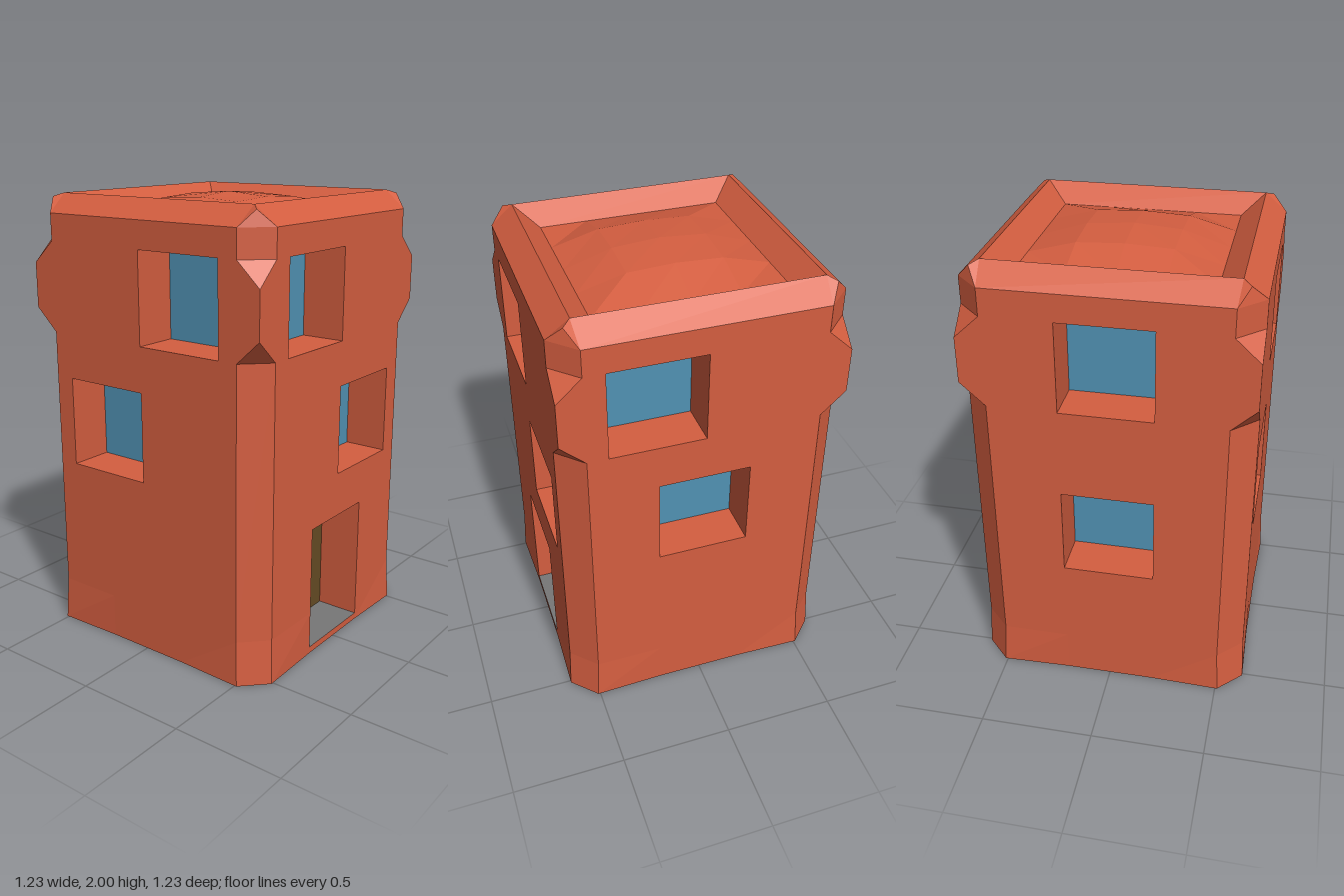
import * as THREE from 'three';

const W = 0.608; // half width of the tower
const C = 0.5;   // where the corner chamfer starts
const IN = 0.41; // depth of window panes and roof floor

// Flat polygons, each a fan of corners listed counter-clockwise
function facets(polys) {
  const pos = [];
  for (const p of polys)
    for (let i = 1; i < p.length - 1; i++) pos.push(...p[0], ...p[i], ...p[i + 1]);
  const g = new THREE.BufferGeometry();
  g.setAttribute('position', new THREE.Float32BufferAttribute(pos, 3));
  g.computeVertexNormals();
  return g;
}

export function createModel() {
  const mat = (name, color) => {
    const m = new THREE.MeshStandardMaterial({ color });
    m.name = name;
    return m;
  };
  const brick = mat('terracotta', 0xd45e40);
  const glass = mat('blueGlass', 0x5192b3);
  const wood = mat('darkWood', 0x664c24);
  const stone = mat('greyStone', 0x777777);

  const root = new THREE.Group();
  root.name = 'tower';
  const add = (parent, name, geo, material) => {
    const m = new THREE.Mesh(geo, material);
    m.name = name;
    parent.add(m);
    return m;
  };

  // Recess with a pane at its back
  function opening(parent, name, [x0, x1, y0, y1], pane, floor) {
    const f = W, b = IN;
    add(parent, name + 'Reveal', facets([
      [[x0, y0, f], [x0, y0, b], [x0, y1, b], [x0, y1, f]],
      [[x1, y0, b], [x1, y0, f], [x1, y1, f], [x1, y1, b]],
      [[x0, y1, b], [x1, y1, b], [x1, y1, f], [x0, y1, f]],
    ]), brick);
    add(parent, name + 'Sill', facets([
      [[x0, y0, f], [x1, y0, f], [x1, y0, b], [x0, y0, b]],
    ]), floor);
    add(parent, name + 'Pane', facets([
      [[x0, y0, b], [x1, y0, b], [x1, y1, b], [x0, y1, b]],
    ]), pane);
  }

  // One side: wall, windows, skirt, its right-hand corner and roof rim
  function side(name, turn, windows, hasDoor) {
    const s = new THREE.Group();
    s.name = name;
    s.rotation.y = turn * Math.PI / 2;
    root.add(s);

    // Wall outline widens to a square corner between 1.5 and 1.7
    const outline = [[C, 0.2], [C, 1.4], [W, 1.5], [W, 1.7], [C, 1.8], [C, 1.92]];
    const mirrored = outline.map(([x, y]) => [-x, y]).reverse();
    const notch = hasDoor ? [[-0.2, 0.2], [-0.2, 0.6], [0.2, 0.6], [0.2, 0.2]] : [];
    const shape = new THREE.Shape(
      [...outline, ...mirrored, ...notch].map(([x, y]) => new THREE.Vector2(x, y)));
    for (const [x0, x1, y0, y1] of windows)
      shape.holes.push(new THREE.Path(
        [[x0, y0], [x0, y1], [x1, y1], [x1, y0]].map(([x, y]) => new THREE.Vector2(x, y))));
    add(s, 'wall', new THREE.ShapeGeometry(shape).translate(0, 0, W), brick);
    windows.forEach((w) => opening(s, 'window', w, glass, brick));

    // Slightly flared skirt
    const t = hasDoor ? 0.03 : 0.2;
    add(s, 'skirt', facets([
      [[-0.51, 0, 0.617], [-0.2, 0, W], [-0.2, 0.2, W], [-C, 0.2, W]],
      [[0.2, 0, W], [0.51, 0, 0.617], [C, 0.2, W], [0.2, 0.2, W]],
      [[-0.2, 0, W], [0.2, 0, W], [0.2, t, W], [-0.2, t, W]],
    ]), brick);
    if (hasDoor) opening(s, 'door', [-0.2, 0.2, 0.03, 0.6], wood, stone);

    // Chamfered corner with the square bulge
    const A = (y) => [C, y, W], B = (y) => [W, y, C];
    const peak = [0.545, 1.985, 0.545];
    add(s, 'corner', facets([
      [[0.51, 0, 0.617], [0.617, 0, 0.51], B(0.2), A(0.2)],
      [A(0.2), B(0.2), B(1.4), A(1.4)],
      [A(1.4), B(1.4), [W, 1.5, W]],
      [A(1.8), [W, 1.7, W], B(1.8)],
      [A(1.8), B(1.8), B(1.92), A(1.92)],
      [A(1.92), B(1.92), peak],
    ]), brick);

    // Rim: outer bevel up to the ridge, inner slope down to the roof
    add(s, 'roofRim', facets([
      [[-C, 1.92, W], [C, 1.92, W], [0.51, 2, 0.51], [-0.51, 2, 0.51]],
      [[C, 1.92, W], peak, [0.51, 2, 0.51]],
      [[-C, 1.92, W], [-0.51, 2, 0.51], [-0.545, 1.985, 0.545]],
      [[-0.51, 2, 0.51], [0.51, 2, 0.51], [IN, 1.92, IN], [-IN, 1.92, IN]],
    ]), brick);

    // Quarter of the underside
    add(s, 'underside', facets([
      [[0, 0, 0], [0.617, 0, 0.51], [0.51, 0, 0.617], [0.2, 0, W],
        [-0.2, 0, W], [-0.51, 0, 0.617]],
    ]), brick);
  }

  const upperR = [0, IN, 1.4, 1.8], upperL = [-IN, 0, 1.4, 1.8];
  side('frontSide', 0, [upperR, [-IN, 0, 0.8, 1.2]], false);
  side('leftSide', 1, [upperL, [0, IN, 0.8, 1.2]], true);
  side('backSide', 2, [upperL, [-0.2, 0.2, 0.8, 1.2]], false);
  side('rightSide', 3, [[-0.2, 0.2, 1.4, 1.8], [-0.2, 0.2, 0.6, 1.0]], false);

  // Low faceted dome inside the rim
  const dome = new THREE.PlaneGeometry(2 * IN, 2 * IN, 4, 4).rotateX(-Math.PI / 2);
  const p = dome.attributes.position;
  for (let i = 0; i < p.count; i++) {
    const ax = Math.abs(p.getX(i)), az = Math.abs(p.getZ(i)), m = Math.max(ax, az);
    const y = m > 0.3 ? 1.92 : m < 0.1 ? 2 : Math.min(ax, az) > 0.1 ? 1.975 : 1.985;
    p.setY(i, y);
  }
  const flat = dome.toNonIndexed();
  flat.computeVertexNormals();
  add(root, 'roofDome', flat, brick);

  return root;
}
